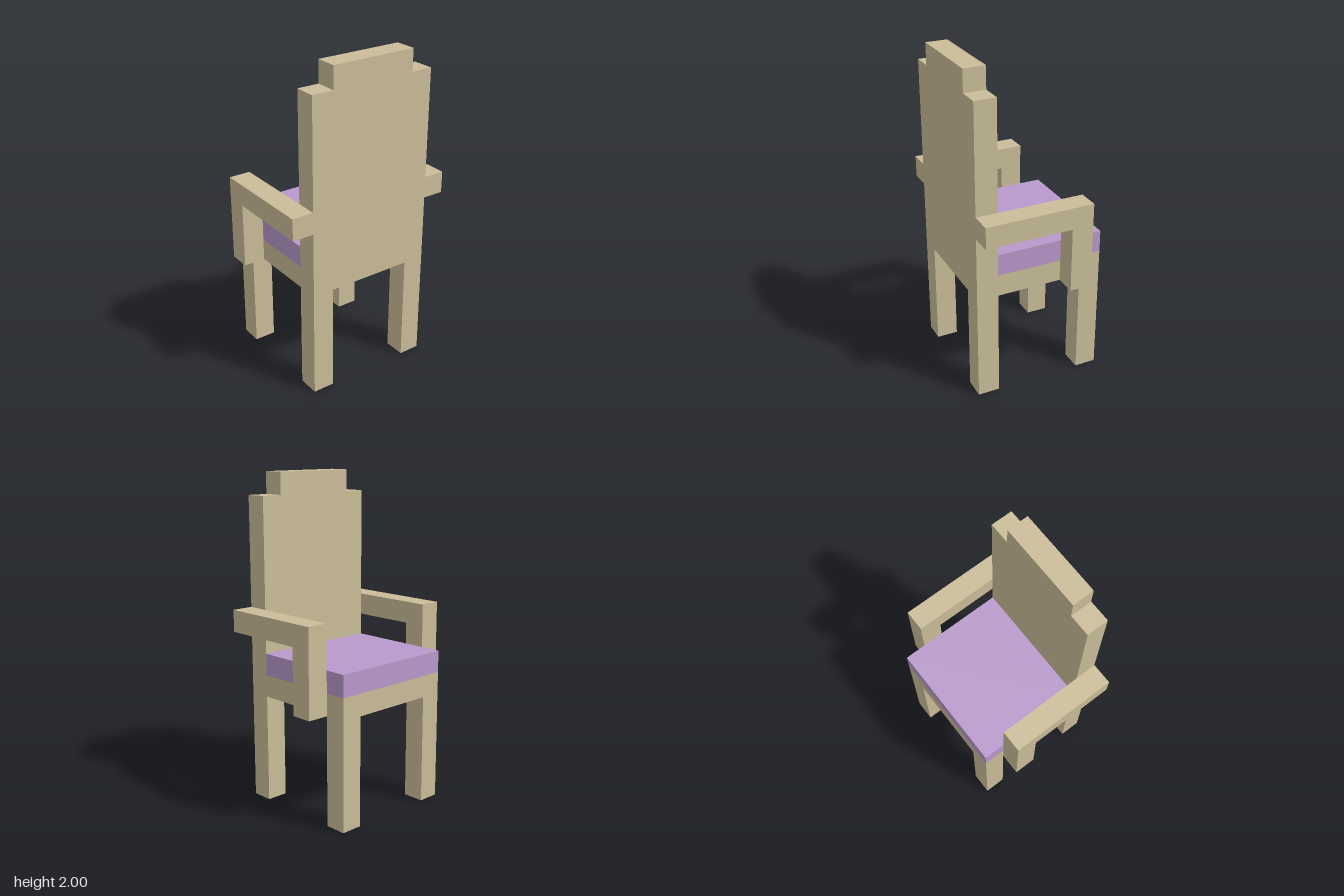
import * as THREE from 'three';

// One block of the chair's grid: fifteen blocks make the full height
const U = 2 / 15;

export function createModel() {
  const chair = new THREE.Group();
  chair.name = 'armchair';

  const wood = new THREE.MeshStandardMaterial({ color: 0xcabd98 });
  wood.name = 'pale wood';
  const fabric = new THREE.MeshStandardMaterial({ color: 0xb899cb });
  fabric.name = 'lilac fabric';

  // Box spanning two corners, given in blocks
  function block(name, material, [x0, y0, z0], [x1, y1, z1]) {
    const geometry = new THREE.BoxGeometry((x1 - x0) * U, (y1 - y0) * U, (z1 - z0) * U);
    const mesh = new THREE.Mesh(geometry, material);
    mesh.name = name;
    mesh.position.set((x0 + x1) / 2 * U, (y0 + y1) / 2 * U, (z0 + z1) / 2 * U);
    chair.add(mesh);
  }

  // Seat frame and cushion
  block('seatFrame', wood, [-3, 5, -3], [3, 6, 2]);
  block('cushion', fabric, [-3, 6, -3], [3, 7, 2]);

  // Backrest with a stepped top and the two legs below it, cut from one board
  const outline = [
    [-3, 0], [-2, 0], [-2, 5], [2, 5], [2, 0], [3, 0],
    [3, 14], [2, 14], [2, 15], [-2, 15], [-2, 14], [-3, 14],
  ].map(([x, y]) => new THREE.Vector2(x * U, y * U));
  const board = new THREE.ExtrudeGeometry(new THREE.Shape(outline), { depth: U, bevelEnabled: false });
  const backrest = new THREE.Mesh(board, wood);
  backrest.name = 'backrestWithLegs';
  backrest.position.z = 2 * U;
  chair.add(backrest);

  // Mirrored seat legs, armrests and armrest posts
  for (const [side, s] of [['left', 1], ['right', -1]]) {
    const span = (a, b) => (s > 0 ? [a, b] : [-b, -a]);
    const [l0, l1] = span(2, 3);
    const [a0, a1] = span(3, 4);
    block(side + 'SeatLeg', wood, [l0, 0, -3], [l1, 5, -2]);
    block(side + 'Armrest', wood, [a0, 8, -2], [a1, 9, 3]);
    block(side + 'ArmrestPost', wood, [a0, 5, -2], [a1, 8, -1]);
  }

  return chair;
}
